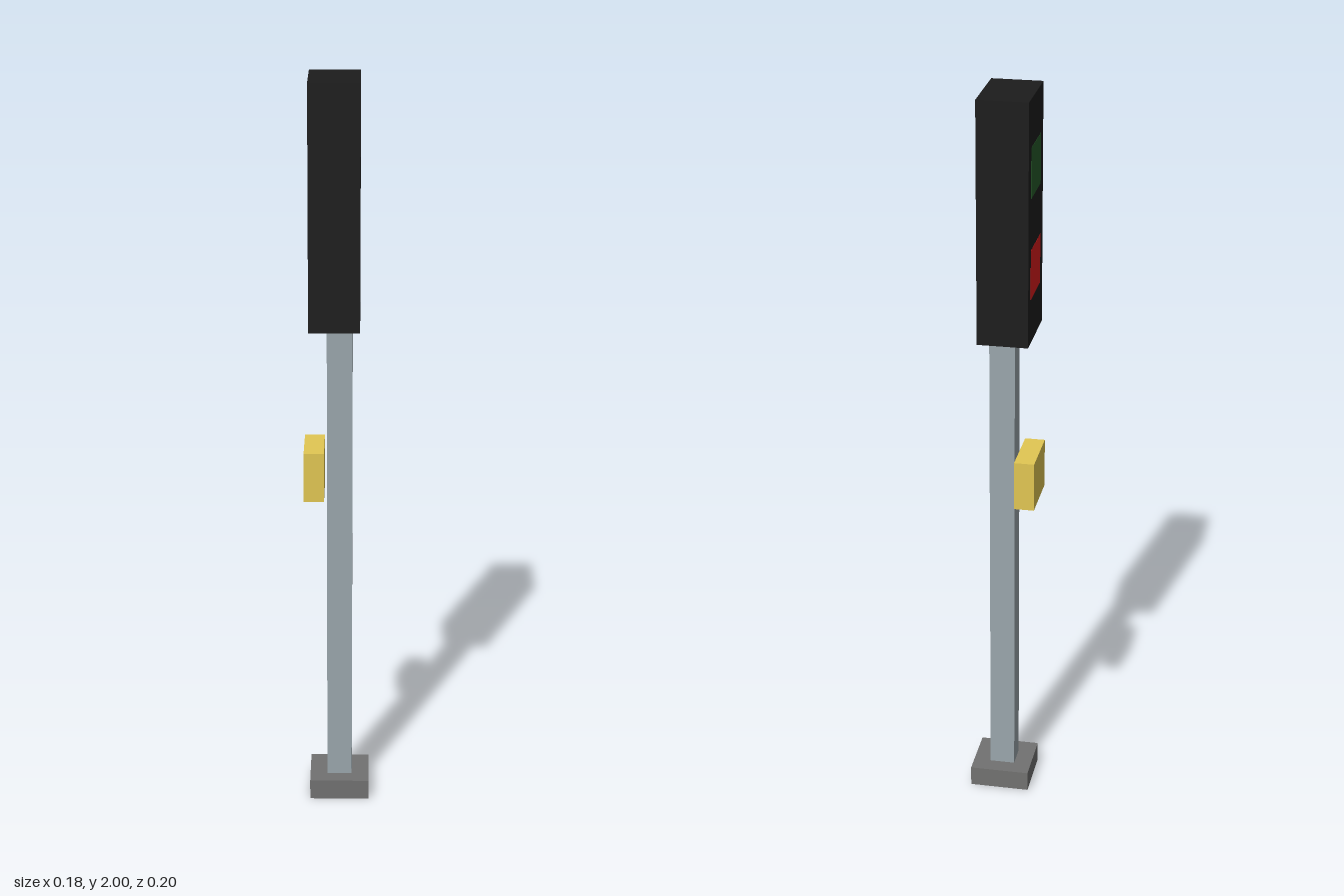
import * as THREE from 'three';

function mat(name, color, side = THREE.FrontSide) {
  const m = new THREE.MeshStandardMaterial({ color, side });
  m.name = name;
  return m;
}

// Box given by its extents on each axis
function block(name, material, [x0, x1], [y0, y1], [z0, z1]) {
  const geometry = new THREE.BoxGeometry(x1 - x0, y1 - y0, z1 - z0);
  const mesh = new THREE.Mesh(geometry, material);
  mesh.position.set((x0 + x1) / 2, (y0 + y1) / 2, (z0 + z1) / 2);
  mesh.name = name;
  return mesh;
}

// Same box without its bottom face
function openBlock(...args) {
  const mesh = block(...args);
  const faces = Array.from(mesh.geometry.index.array);
  faces.splice(18, 6);
  mesh.geometry.setIndex(faces);
  mesh.geometry.clearGroups();
  return mesh;
}

export function createModel() {
  const model = new THREE.Group();
  model.name = 'pedestrianSignal';

  const black = mat('black', 0x1c1c1c);
  const steel = mat('steel', 0x9aa6ac, THREE.DoubleSide);
  const grey = mat('grey', 0x727271, THREE.DoubleSide);
  const yellow = mat('yellow', 0xe2c753, THREE.DoubleSide);
  const red = mat('red', 0xdc1c1c);
  const green = mat('darkGreen', 0x265a2a);

  // Foot, square post and push-button box: hollow, open underneath
  model.add(openBlock('base', grey, [-0.074, 0.088], [0, 0.055], [-0.081, 0.081]));
  model.add(openBlock('post', steel, [-0.027, 0.041], [0, 1.352], [-0.034, 0.034]));
  model.add(openBlock('buttonBox', yellow, [-0.088, -0.034], [0.88, 1.015], [-0.081, 0.081]));

  // Signal housing
  model.add(block('signalHead', black, [-0.074, 0.0605], [1.352, 2], [-0.101, 0.101]));

  // Square lamps, almost flush with the right side of the housing
  const lamps = [['redLamp', red, 1.472], ['greenLamp', green, 1.742]];
  for (const [name, material, y] of lamps) {
    model.add(block(name, material, [-0.0746, -0.0736], [y, y + 0.133], [-0.067, 0.067]));
  }

  return model;
}
